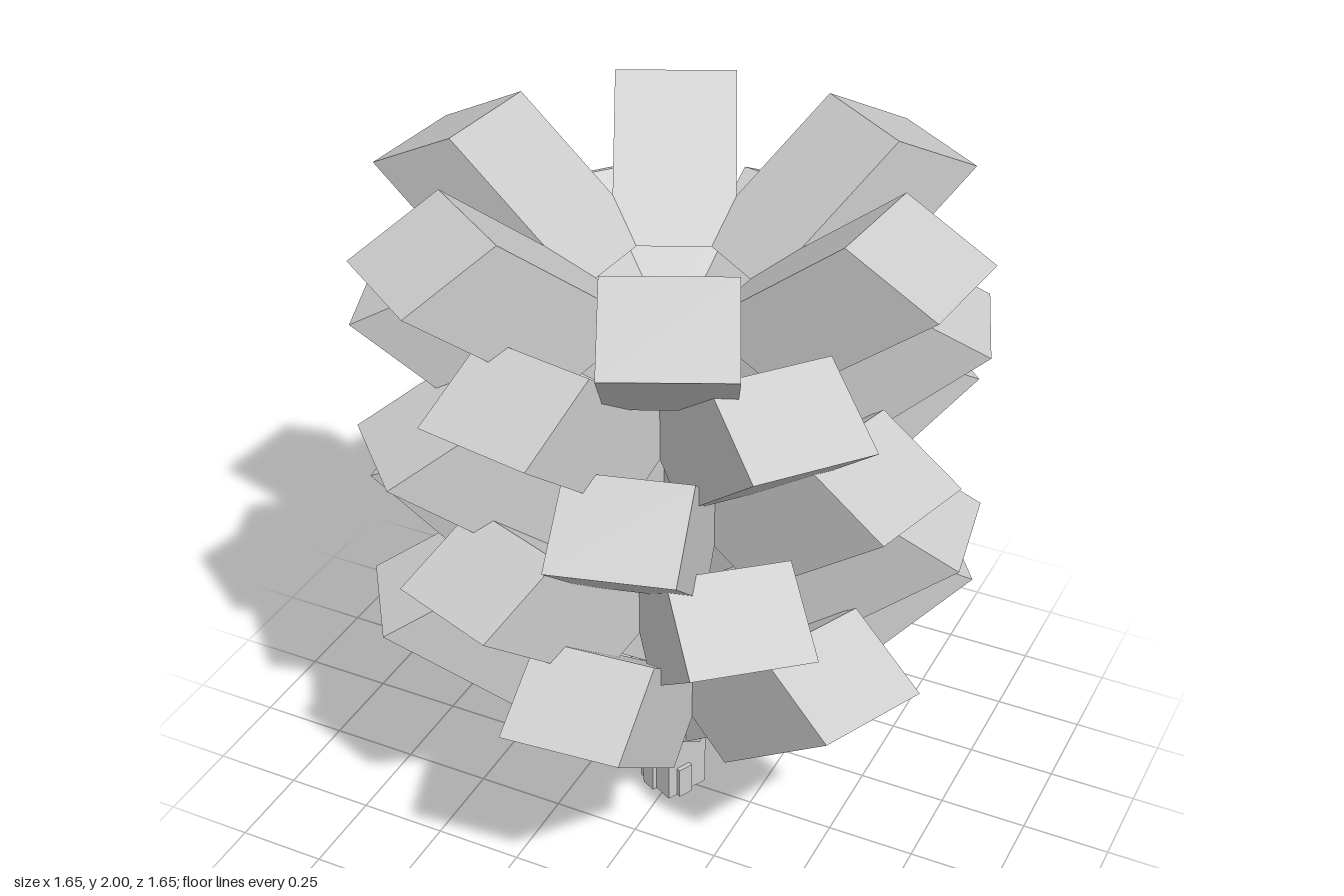
import * as THREE from 'three';

const material = new THREE.MeshStandardMaterial({ color: 0xcccccc, flatShading: true });

// Radial profile (distance from axis, height) extruded sideways to a slab of the given width
function slab(points, width) {
  const shape = new THREE.Shape(points.map(([r, y]) => new THREE.Vector2(r, y)));
  const geo = new THREE.ExtrudeGeometry(shape, { depth: width, bevelEnabled: false });
  return geo.translate(0, 0, -width / 2);
}

function add(parent, name, geo) {
  const mesh = new THREE.Mesh(geo, material);
  mesh.name = name;
  parent.add(mesh);
  return mesh;
}

export function createModel() {
  const model = new THREE.Group();
  model.name = 'cone';

  // Wide scale block and the narrower root that joins it to the axis
  const blockGeo = slab([[0.42, 0.43], [0.81, 0.75], [0.56, 0.88], [0.17, 0.56]], 0.325);
  const rootGeo = slab([[0.087, 0.24], [0.397, 0.495], [0.247, 0.573], [-0.063, 0.318]], 0.23);

  // Five tiers of six scales, each tier turned 25 degrees from the one below
  for (let tier = 0; tier < 5; tier++) {
    const ring = new THREE.Group();
    ring.name = `scaleTier${tier + 1}`;
    ring.position.y = tier * 0.28;
    for (let i = 0; i < 6; i++) {
      const scale = new THREE.Group();
      scale.name = 'scale';
      scale.rotation.y = -THREE.MathUtils.degToRad(25 * (tier + 1) + 60 * i);
      add(scale, 'scaleBlock', blockGeo);
      add(scale, 'scaleRoot', rootGeo);
      ring.add(scale);
    }
    model.add(ring);
  }

  // Hidden core
  add(model, 'core', new THREE.CylinderGeometry(0.08, 0.08, 1.15, 6)).position.y = 0.85;

  // Square stem, slightly turned, with a small pad at the foot of each face
  const stem = new THREE.Group();
  stem.name = 'stem';
  stem.rotation.y = -Math.atan2(0.06, 0.12);
  add(stem, 'stemPost', new THREE.BoxGeometry(0.134, 0.3, 0.134)).position.y = 0.15;
  for (let i = 0; i < 4; i++) {
    const side = new THREE.Group();
    side.name = 'stemSide';
    side.rotation.y = i * Math.PI / 2;
    add(side, 'stemPad', new THREE.BoxGeometry(0.045, 0.1, 0.04)).position.set(-0.015, 0.05, 0.06);
    stem.add(side);
  }
  model.add(stem);
  return model;
}
